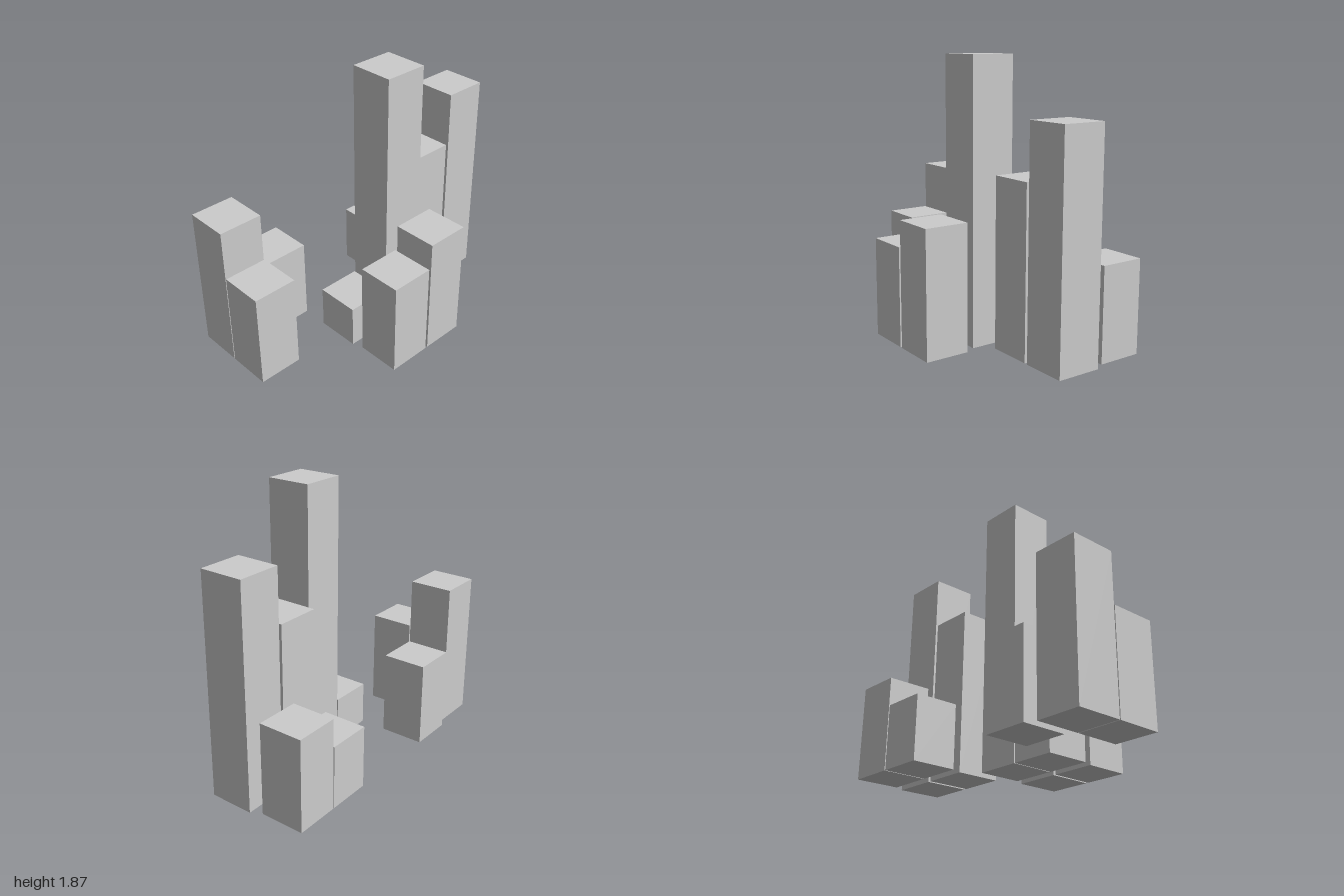
import * as THREE from 'three';

const SIZE = 0.304; // every tower shares the same square footprint

// centre x, centre z, height
const TOWERS = {
  farRightBackTower: [-0.848, -0.395, 1.01],
  farRightFrontTower: [-0.848, -0.084, 0.67],
  rightBackTower: [-0.48, -0.432, 0.58],
  centreLowTower: [-0.178, 0.056, 0.3],
  centreTallTower: [0.133, 0.056, 1.87],
  frontRightTower: [-0.154, 0.428, 0.665],
  frontLeftTower: [0.168, 0.428, 0.845],
  leftBackInnerTower: [0.496, -0.43, 0.43],
  leftBackOuterTower: [0.808, -0.43, 0.625],
  leftInnerTower: [0.522, -0.057, 1.13],
  leftOuterTower: [0.848, -0.057, 1.5],
};

export function createModel() {
  const group = new THREE.Group();
  group.name = 'towerBlocks';
  const material = new THREE.MeshStandardMaterial({ color: 0xcccccc });

  // Plain square towers standing on the ground
  for (const [name, [x, z, height]] of Object.entries(TOWERS)) {
    const tower = new THREE.Mesh(new THREE.BoxGeometry(SIZE, height, SIZE), material);
    tower.name = name;
    tower.position.set(x, height / 2, z);
    group.add(tower);
  }
  return group;
}
